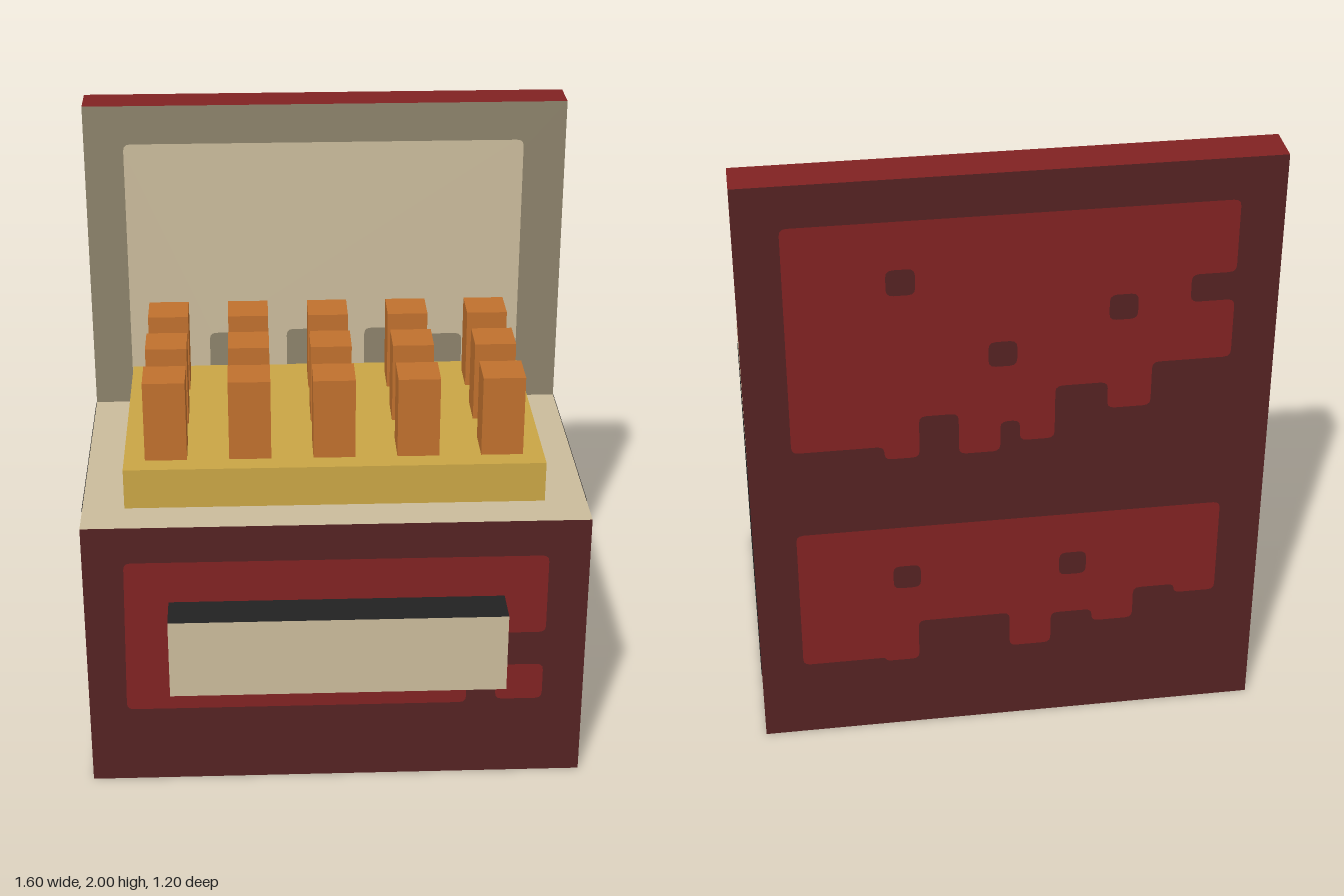
import * as THREE from 'three';

const U = 1 / 15; // design cell
const mat = (name, color) => new THREE.MeshStandardMaterial({ name, color });

export function createModel() {
  const red = mat('red', 0x802222), dark = mat('dark red', 0x542222);
  const beige = mat('beige', 0xcabb9b), taupe = mat('taupe', 0x8c826b);
  const black = mat('black', 0x222222), gold = mat('gold', 0xc9a545), orange = mat('orange', 0xbf702d);
  const model = new THREE.Group();
  model.name = 'openCase';

  // Box from min to max corner; material order: +x -x +y -y +z -z
  function box(name, material, [x0, y0, z0], [x1, y1, z1], parent = model) {
    const mesh = new THREE.Mesh(new THREE.BoxGeometry(x1 - x0, y1 - y0, z1 - z0), material);
    mesh.position.set((x0 + x1) / 2, (y0 + y1) / 2, (z0 + z1) / 2);
    mesh.name = name;
    parent.add(mesh);
  }

  // Closed outline with softened corners
  function rounded(path, points, r = 0.022) {
    const p = points.map(([x, y]) => new THREE.Vector2(x, y)), n = p.length;
    const toward = (a, b) => a.clone().lerp(b, Math.min(0.45, r / a.distanceTo(b)));
    p.forEach((c, i) => {
      const a = toward(c, p[(i + n - 1) % n]), b = toward(c, p[(i + 1) % n]);
      if (i) path.lineTo(a.x, a.y); else path.moveTo(a.x, a.y);
      path.quadraticCurveTo(c.x, c.y, b.x, b.y);
    });
    path.closePath();
    return path;
  }

  // Flat painted patch facing front or back
  function patch(name, material, points, z, holes = []) {
    const shape = rounded(new THREE.Shape(), points);
    for (const [x, y] of holes) {
      const h = 0.043;
      shape.holes.push(rounded(new THREE.Path(), [[x - h, y - h], [x - h, y + h], [x + h, y + h], [x + h, y - h]]));
    }
    const mesh = new THREE.Mesh(new THREE.ShapeGeometry(shape, 3), material);
    mesh.name = name;
    mesh.position.z = z;
    if (z < -0.5) mesh.rotation.y = Math.PI;
    model.add(mesh);
  }

  // Base, body and upright lid
  box('base', dark, [-0.8, 0, -0.6], [0.8, 0.14, 0.467]);
  box('body', [red, red, beige, dark, dark, dark], [-0.8, 0.14, -0.467], [0.8, 0.933, 0.467]);
  box('lid', [red, red, red, dark, taupe, dark], [-0.8, 0.14, -0.6], [0.8, 2, -0.467]);
  for (const s of [-1, 1]) {
    const x = s * 0.8;
    box('sidePanel', black, [x - 0.002, 0.14, -0.467], [x + 0.002, 0.932, 0.333]);
  }

  // Front handle with a pale face
  box('handle', [black, black, black, black, beige, black], [-0.533, 0.4, 0.467], [0.533, 0.667, 0.6]);

  // Tray and its rows of pegs
  box('tray', gold, [-0.667, 0.933, -0.467], [0.667, 1.067, 0.333]);
  const pegs = new THREE.Group();
  pegs.name = 'pegs';
  model.add(pegs);
  for (let i = 0; i < 5; i++) for (let j = 0; j < 3; j++) {
    const x = (i - 2) * 4 * U, z = -0.333 + j * 4 * U;
    box('peg', orange, [x - U, 1.067, z - U], [x + U, 1.333, z + U], pegs);
  }

  // Worn paint on the front
  patch('frontPatch', red, [[-0.68, 0.27], [0.42, 0.27], [0.42, 0.45], [0.5, 0.45], [0.5, 0.53],
    [0.67, 0.53], [0.67, 0.81], [-0.67, 0.81]], 0.47);
  patch('frontSpot', red, [[0.515, 0.28], [0.667, 0.28], [0.667, 0.41], [0.515, 0.41]], 0.47);

  // Pale lining inside the lid
  patch('lidLining', beige, [[-0.67, 1], [-0.4, 1], [-0.4, 1.19], [-0.27, 1.19], [-0.27, 1], [-0.135, 1],
    [-0.135, 1.2], [0, 1.2], [0, 1], [0.133, 1], [0.133, 1.2], [0.3, 1.2], [0.3, 1.175], [0.47, 1.175],
    [0.47, 1.05], [0.66, 1.05], [0.66, 1.87], [-0.67, 1.87]], -0.464);

  // Worn paint on the back, outlined in [column, row] cells from the upper left
  const cell = ([c, r]) => [-0.8 + c * U, 2 - r * U];
  const backPatch = (name, top, lower, holes) => patch(name, red,
    [[22, top], [2, top], ...lower].map(cell), -0.603, holes.map(cell));
  backPatch('upperBackPatch', 2, [[2, 13.5], [6.2, 13.5], [6.2, 14.2], [7.8, 14.2], [7.8, 12], [9.6, 12],
    [9.6, 14.2], [11.5, 14.2], [11.5, 12.6], [12.4, 12.6], [12.4, 13.7], [14, 13.7], [14, 10.9], [16.4, 10.9],
    [16.4, 12.3], [18.4, 12.3], [18.4, 10], [22, 10], [22, 7], [20, 7], [20, 5.6], [22, 5.6]],
  [[7.1, 5], [11.6, 9], [17, 7]]);
  backPatch('lowerBackPatch', 18.1, [[2, 25.8], [6, 25.8], [6, 26], [7.6, 26], [7.6, 23.7], [12, 23.7], [12, 25.7],
    [14, 25.7], [14, 23.9], [16, 23.9], [16, 24.6], [18, 24.6], [18, 22.8], [20, 22.8], [20, 23.3], [22, 23.3]],
  [[7.1, 21], [15, 21]]);

  return model;
}
